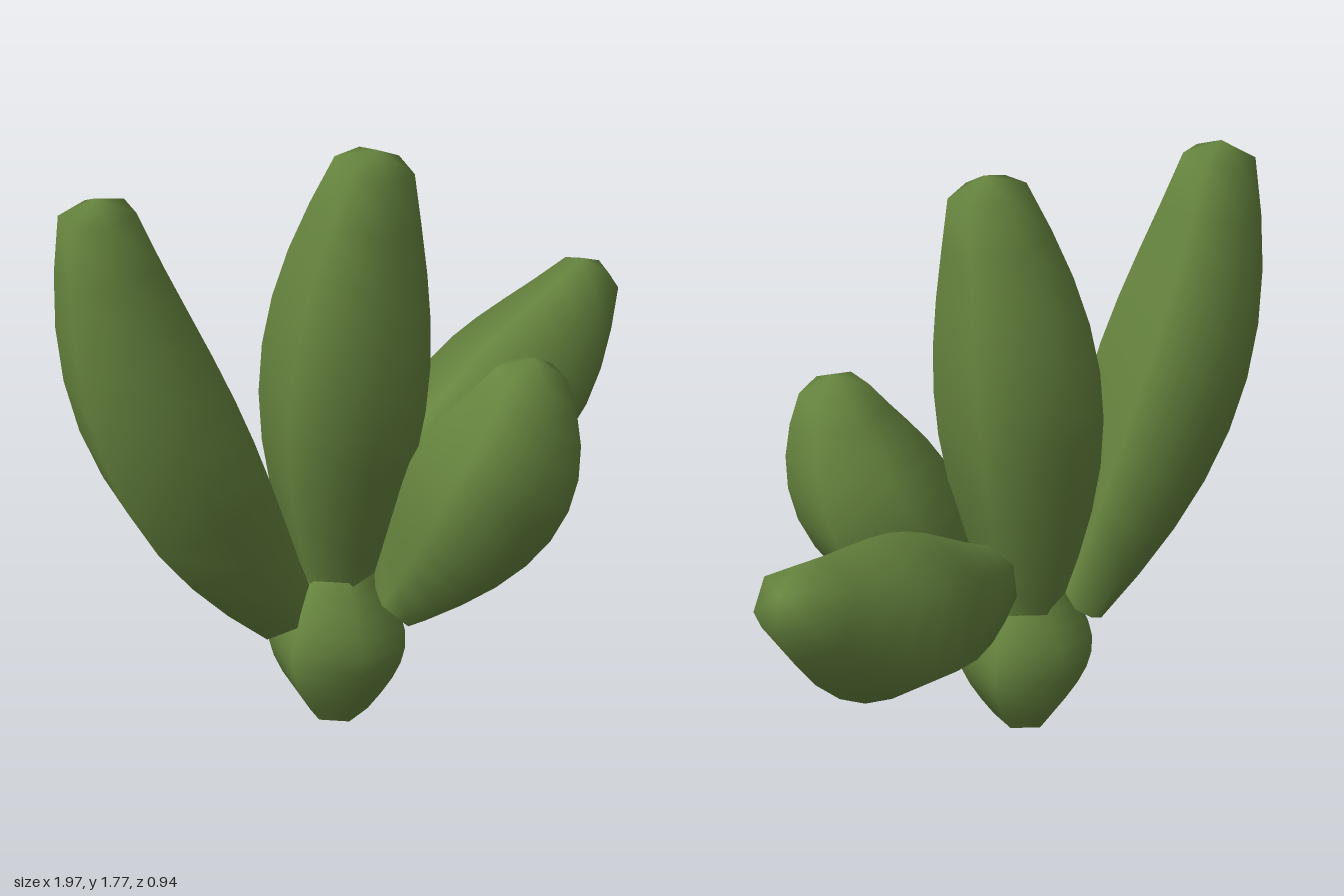
import * as THREE from 'three';

const SIDES = 6;
const RINGS = 9;
const UP = new THREE.Vector3(0, 1, 0);

// Bent six-sided lobe: swells from a flat foot to a blunt, slightly pointed tip.
function lobeGeometry({ foot, middle, top, endRadius, swell, tip, twist = -0.3 }) {
  const a = new THREE.Vector3(...foot);
  const m = new THREE.Vector3(...middle);
  const b = new THREE.Vector3(...top);
  const control = m.multiplyScalar(2).addScaledVector(a.clone().add(b), -0.5);
  const path = new THREE.QuadraticBezierCurve3(a, control, b);

  const positions = [];
  const index = [];
  const add = (p) => positions.push(p.x, p.y, p.z) / 3 - 1;

  for (let i = 0; i <= RINGS; i++) {
    const t = i / RINGS;
    const centre = path.getPoint(t);
    const turn = new THREE.Quaternion().setFromUnitVectors(UP, path.getTangent(t));
    const r = endRadius + swell * Math.sin(Math.PI * t);
    for (let j = 0; j < SIDES; j++) {
      const angle = twist + (j / SIDES) * Math.PI * 2;
      add(new THREE.Vector3(Math.cos(angle) * r, 0, Math.sin(angle) * r).applyQuaternion(turn).add(centre));
    }
  }
  for (let i = 0; i < RINGS; i++) {
    for (let j = 0; j < SIDES; j++) {
      const k = (j + 1) % SIDES;
      const p = i * SIDES + j, q = i * SIDES + k;
      index.push(p, p + SIDES, q + SIDES, p, q + SIDES, q);
    }
  }

  // Tip
  const apex = add(b.clone().addScaledVector(path.getTangent(1), tip));
  for (let j = 0; j < SIDES; j++) {
    index.push(RINGS * SIDES + j, apex, RINGS * SIDES + ((j + 1) % SIDES));
  }

  // Flat foot with its own corners, so its edge stays sharp
  const start = positions.length / 3;
  for (let j = 0; j < SIDES; j++) add(new THREE.Vector3().fromArray(positions, j * 3));
  const centre = add(a);
  for (let j = 0; j < SIDES; j++) index.push(centre, start + j, start + ((j + 1) % SIDES));

  const geometry = new THREE.BufferGeometry();
  geometry.setAttribute('position', new THREE.Float32BufferAttribute(positions, 3));
  geometry.setIndex(index);
  geometry.computeVertexNormals();
  return geometry;
}

export function createModel() {
  const group = new THREE.Group();
  group.name = 'cactus';
  const green = new THREE.MeshStandardMaterial({ color: 0x67853f });
  green.name = 'cactus green';

  const lobes = {
    baseLobe: {
      foot: [-0.235, 0, -0.065], middle: [-0.235, 0.25, -0.065], top: [-0.235, 0.5, -0.065],
      endRadius: 0.09, swell: 0.115, tip: 0.03,
    },
    centreLobe: {
      foot: [-0.22, 0.42, -0.08], middle: [-0.2, 1.08, -0.06], top: [-0.145, 1.73, 0.02],
      endRadius: 0.11, swell: 0.13, tip: 0.045,
    },
    tallRightLobe: {
      foot: [-0.38, 0.36, -0.12], middle: [-0.71, 1.0, -0.18], top: [-0.87, 1.69, -0.205],
      endRadius: 0.105, swell: 0.125, tip: 0.045,
    },
    smallFrontLobe: {
      foot: [-0.1, 0.38, 0.06], middle: [0.085, 0.76, 0.235], top: [0.175, 1.135, 0.31],
      endRadius: 0.1, swell: 0.135, tip: 0.045,
    },
    leftArmLobe: {
      foot: [0.01, 0.64, -0.16], middle: [0.49, 0.75, -0.23], top: [0.92, 1.03, -0.31],
      endRadius: 0.095, swell: 0.14, tip: 0.045,
    },
  };

  for (const [name, shape] of Object.entries(lobes)) {
    const mesh = new THREE.Mesh(lobeGeometry(shape), green);
    mesh.name = name;
    group.add(mesh);
  }
  return group;
}
